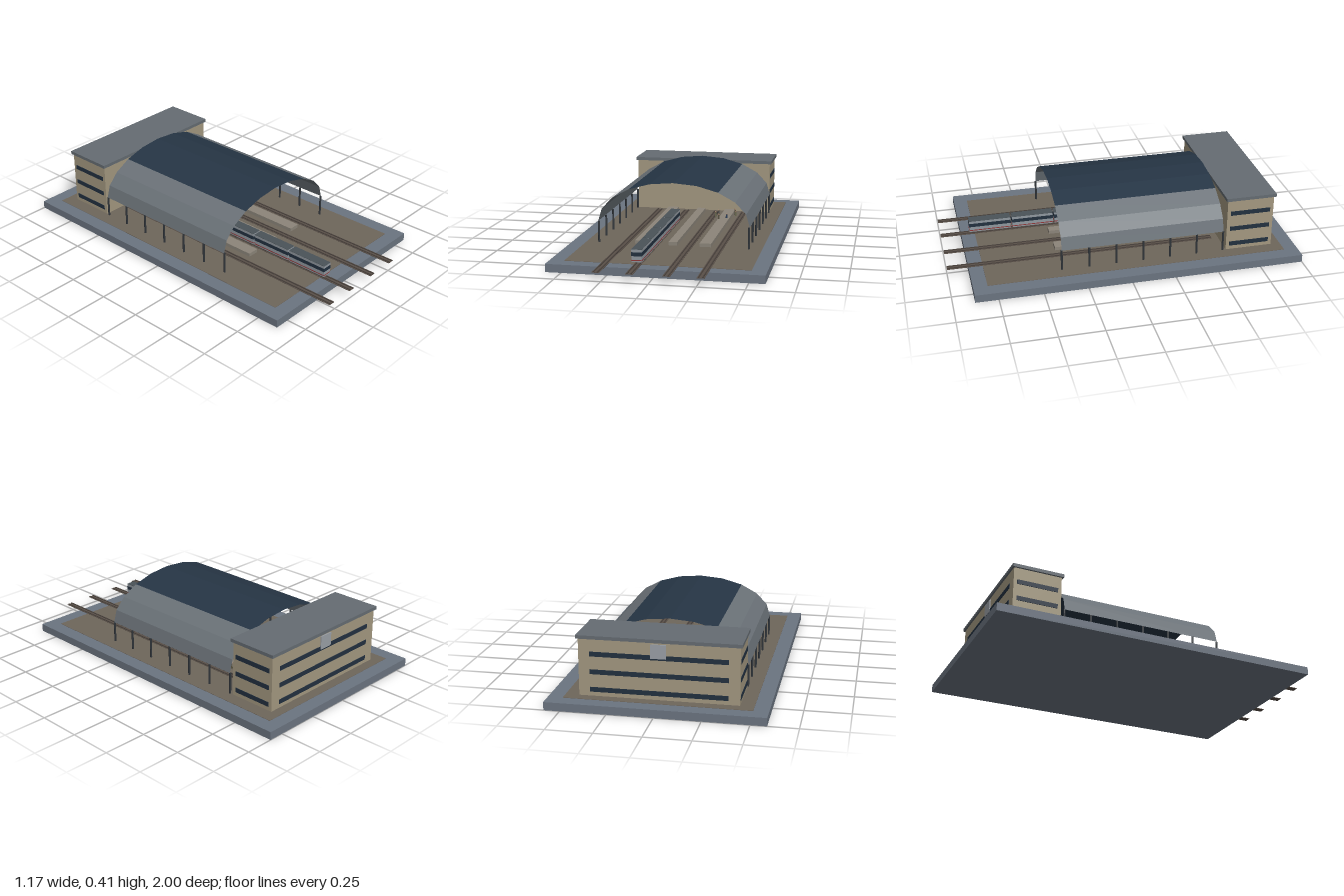
import * as THREE from 'three';

const mat = (color, extra = {}) => new THREE.MeshStandardMaterial({ color, flatShading: true, ...extra });
const M = {
  concrete: mat(0x6b7480), ground: mat(0x6e665b), stone: mat(0xa39880), slab: mat(0x656c72),
  glass: mat(0x22303f), steel: mat(0x30353a), track: mat(0x5a5048), rail: mat(0x463f3a),
  platform: mat(0x8c857a), train: mat(0x8f979e), trainRoof: mat(0x4a5358), red: mat(0x8f3535),
  clock: mat(0x9a9fa6), skin: mat(0x9a7a62),
  arch: mat(0x6b7278, { side: THREE.DoubleSide }), skylight: mat(0x263545, { side: THREE.DoubleSide }),
};

// Box given by its limits on each axis
function box(parent, name, material, [x0, x1], [y0, y1], [z0, z1]) {
  const m = new THREE.Mesh(new THREE.BoxGeometry(x1 - x0, y1 - y0, z1 - z0), material);
  m.position.set((x0 + x1) / 2, (y0 + y1) / 2, (z0 + z1) / 2);
  m.name = name;
  parent.add(m);
  return m;
}

function group(parent, name) {
  const g = new THREE.Group();
  g.name = name;
  parent.add(g);
  return g;
}

// Strip of the elliptical vault between two of its 18 degree steps
function vault(parent, name, material, from, to) {
  const pos = [], index = [];
  for (let i = from; i <= to; i++) {
    const t = (i * Math.PI) / 10;
    const x = 0.435 * Math.cos(t), y = 0.17 + 0.235 * Math.sin(t);
    pos.push(x, y, 0.372, x, y, -0.57);
  }
  for (let i = 0; i < to - from; i++) {
    const a = i * 2;
    index.push(a, a + 1, a + 2, a + 1, a + 3, a + 2);
  }
  const g = new THREE.BufferGeometry();
  g.setAttribute('position', new THREE.Float32BufferAttribute(pos, 3));
  g.setIndex(index);
  g.computeVertexNormals();
  const m = new THREE.Mesh(g, material);
  m.name = name;
  parent.add(m);
}

export function createModel() {
  const root = new THREE.Group();
  root.name = 'railwayStation';

  // Base and ground
  box(root, 'base', M.concrete, [-0.587, 0.587], [0, 0.045], [-1, 0.88]);
  box(root, 'ground', M.ground, [-0.505, 0.505], [0.045, 0.047], [-0.92, 0.8]);

  // Station building with window bands on the sides and back
  const building = group(root, 'stationBuilding');
  box(building, 'walls', M.stone, [-0.43, 0.43], [0.045, 0.364], [-0.865, -0.59]);
  box(building, 'flatRoof', M.slab, [-0.441, 0.441], [0.362, 0.381], [-0.875, -0.58]);
  for (const y of [0.07, 0.168, 0.266]) {
    const h = [y, y + 0.026];
    box(building, 'backWindows', M.glass, [-0.37, 0.37], h, [-0.868, -0.86]);
    box(building, 'leftWindows', M.glass, [0.425, 0.433], h, [-0.845, -0.61]);
    box(building, 'rightWindows', M.glass, [-0.433, -0.425], h, [-0.845, -0.61]);
  }
  box(building, 'clockPanel', M.clock, [-0.042, 0.042], [0.275, 0.352], [-0.871, -0.86]);

  // Train shed: vault with central skylight on two rows of columns
  const shed = group(root, 'trainShed');
  vault(shed, 'leftVault', M.arch, 0, 3);
  vault(shed, 'skylight', M.skylight, 3, 7);
  vault(shed, 'rightVault', M.arch, 7, 10);
  const columnGeo = new THREE.CylinderGeometry(0.006, 0.006, 0.125, 8);
  for (let i = 0; i < 7; i++) {
    for (const s of [-1, 1]) {
      const c = new THREE.Mesh(columnGeo, M.steel);
      c.name = 'column';
      c.position.set(s * 0.431, 0.1075, 0.372 - i * 0.157);
      shed.add(c);
    }
  }

  // Tracks
  for (const x of [-0.277, -0.1, 0.095, 0.272]) {
    const track = group(root, 'track');
    box(track, 'trackBed', M.track, [x - 0.02, x + 0.02], [0.046, 0.049], [-0.55, 1]);
    for (const s of [-0.011, 0.011])
      box(track, 'rail', M.rail, [x + s - 0.003, x + s + 0.003], [0.049, 0.052], [-0.55, 1]);
  }

  // Platforms
  for (const [x0, x1] of [[-0.22, -0.153], [-0.026, 0.023], [0.152, 0.218]])
    box(root, 'platform', M.platform, [x0, x1], [0.045, 0.067], [-0.55, 0.372]);

  // Train of four carriages
  const train = group(root, 'train');
  for (let i = 0; i < 4; i++) {
    const car = group(train, 'carriage');
    const z1 = 0.83 - i * 0.2545, z0 = z1 - 0.245, e = 0.001;
    box(car, 'body', M.train, [-0.128, -0.072], [0.066, 0.134], [z0, z1]);
    box(car, 'carriageRoof', M.trainRoof, [-0.128, -0.072], [0.134, 0.136], [z0, z1]);
    box(car, 'windowBand', M.glass, [-0.128 - e, -0.072 + e], [0.098, 0.119], [z0 - e, z1 + e]);
    box(car, 'redStripe', M.red, [-0.128 - e, -0.072 + e], [0.073, 0.078], [z0 - e, z1 + e]);
  }

  // Waiting passengers: x, z, height, coat colour
  const people = [
    [0.129, -0.31, 0.036, 0x6b6a50], [0.136, -0.378, 0.032, 0x4a4a48], [0.156, -0.26, 0.032, 0x55503f],
    [0.201, -0.29, 0.029, 0x2b3f5c], [0.238, -0.4, 0.037, 0x5a5440], [0.248, -0.356, 0.033, 0x6b6a50],
  ];
  for (const [x, z, h, color] of people) {
    const p = group(root, 'passenger');
    p.position.set(x, 0.067, z);
    const coat = new THREE.Mesh(new THREE.CylinderGeometry(0.0045, 0.0055, h - 0.008, 8), mat(color));
    coat.name = 'coat';
    coat.position.y = (h - 0.008) / 2;
    const head = new THREE.Mesh(new THREE.SphereGeometry(0.0045, 8, 6), M.skin);
    head.name = 'head';
    head.position.y = h - 0.0045;
    p.add(coat, head);
  }
  return root;
}
